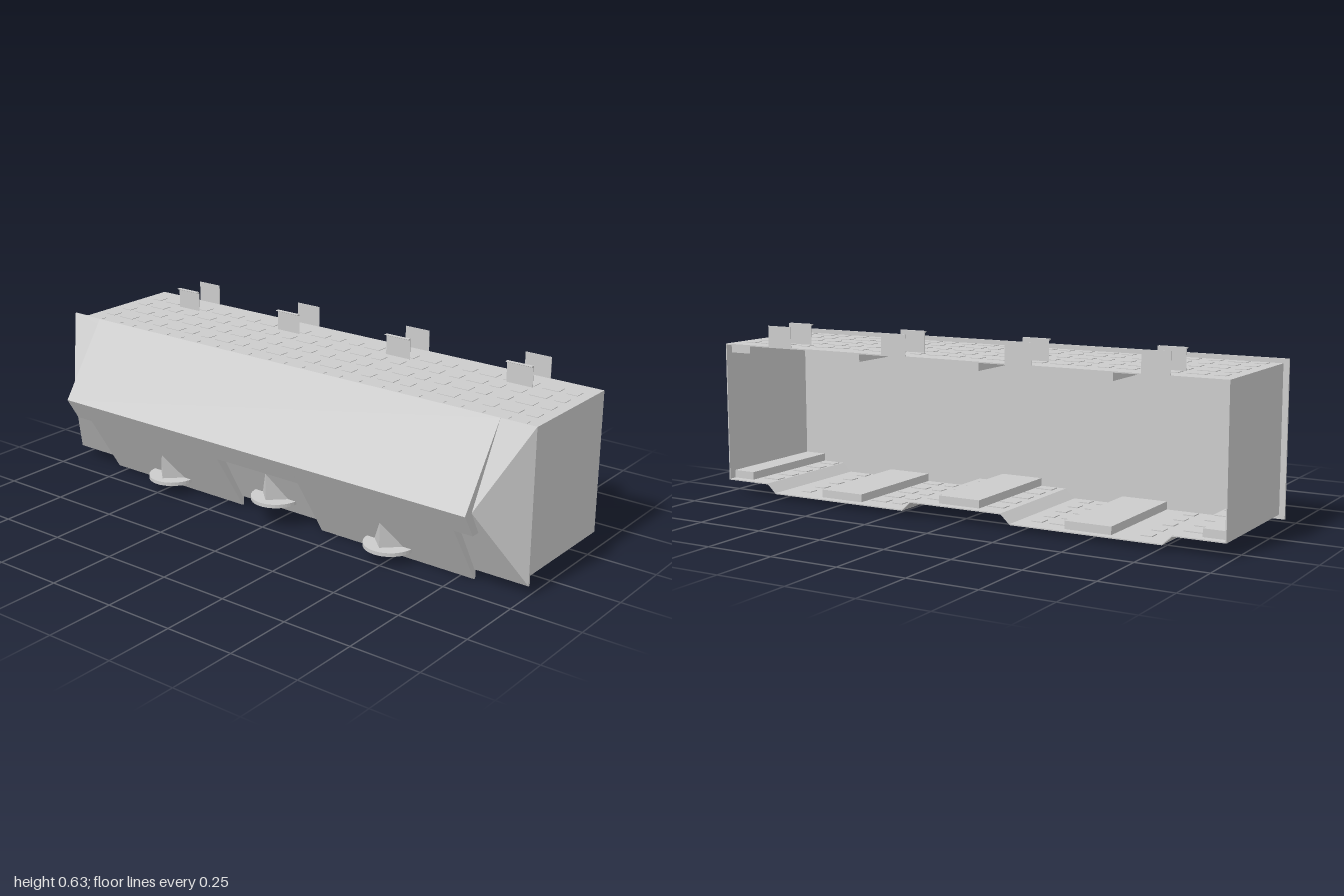
import * as THREE from 'three';
import { mergeGeometries } from 'three/addons/utils/BufferGeometryUtils.js';

const mat = new THREE.MeshStandardMaterial({ color: 0xcccccc, flatShading: true, side: THREE.DoubleSide });

// Box from its min and max on each axis
function box(x0, x1, y0, y1, z0, z1) {
  return new THREE.BoxGeometry(x1 - x0, y1 - y0, z1 - z0)
    .translate((x0 + x1) / 2, (y0 + y1) / 2, (z0 + z1) / 2);
}

// Profile of [z, y] points swept from x0 to x1
function sweepX(profile, x0, x1) {
  const shape = new THREE.Shape(profile.map(([z, y]) => new THREE.Vector2(z, y)));
  return new THREE.ExtrudeGeometry(shape, { depth: x1 - x0, bevelEnabled: false })
    .rotateY(-Math.PI / 2).translate(x1, 0, 0);
}

// Flat triangles from named corners
function facets(points, faces) {
  const g = new THREE.BufferGeometry();
  g.setAttribute('position', new THREE.Float32BufferAttribute(faces.flat().flatMap(i => points[i]), 3));
  g.computeVertexNormals();
  return g;
}

export function createModel() {
  const model = new THREE.Group();
  const add = (name, geo) => {
    const mesh = new THREE.Mesh(geo, mat);
    mesh.name = name;
    model.add(mesh);
    return mesh;
  };

  const W = 0.98, BACK = -0.328, FRONT = 0.136, ROOF = 0.556;
  const rows = [0.101, 0.016, -0.07, -0.156, -0.24];

  // Thin shell, open at the back
  add('roof', box(-W, W, ROOF - 0.004, ROOF, BACK, FRONT));
  for (const s of [-1, 1]) {
    add(s > 0 ? 'leftWall' : 'rightWall',
      box(s > 0 ? W - 0.004 : -W, s > 0 ? W : -W + 0.004, 0.05, ROOF, BACK, FRONT));
  }

  // Floor sheet that drops into two shallow troughs
  const bends = [[-W, 0.05], [-0.8, 0.05], [-0.765, 0.018], [-0.215, 0.018], [-0.18, 0.05],
    [0.18, 0.05], [0.215, 0.018], [0.765, 0.018], [0.8, 0.05], [W, 0.05]];
  const outline = [...bends, ...bends.slice().reverse().map(([x, y]) => [x, y + 0.004])];
  add('floor', new THREE.ExtrudeGeometry(
    new THREE.Shape(outline.map(([x, y]) => new THREE.Vector2(x, y))),
    { depth: FRONT - BACK, bevelEnabled: false }).translate(0, 0, BACK));

  // Broad ribs under the roof and across the floor
  const ribs = [[-0.976, -0.89], [-0.575, -0.405], [-0.08, 0.08], [0.405, 0.575], [0.89, 0.976]];
  const ribParts = ribs.flatMap(([a, b]) => {
    const y = Math.abs((a + b) / 2) > 0.3 && Math.abs(a + b) < 1.5 ? 0.02 : 0.052;
    return [box(a, b, ROOF - 0.035, ROOF - 0.003, -0.3, FRONT), box(a, b, y, y + 0.03, -0.3, FRONT)];
  });
  add('crossRibs', mergeGeometries(ribParts));

  // Shallow tread pads in rows on the roof and floor
  const pads = [];
  for (const z of rows) {
    for (let i = 0; i < 24; i++) {
      const x = -0.92 + i * 0.08, w = i % 3 === 1 ? 0.032 : 0.02, a = Math.abs(x);
      pads.push(box(x - w, x + w, ROOF, ROOF + 0.002, z - 0.02, z + 0.02));
      const onRib = ribs.some(([p, q]) => x + w > p && x - w < q);
      const onSlope = (a > 0.14 && a < 0.25) || (a > 0.73 && a < 0.84);
      if (onRib || onSlope) continue;
      const y = a > 0.2 && a < 0.78 ? 0.018 : 0.05;
      pads.push(box(x - w, x + w, y - 0.002, y + 0.007, z - 0.02, z + 0.02));
    }
  }
  add('treadPads', mergeGeometries(pads));

  // Front flange and faceted nose with tapered ends
  add('frontFlange', box(-1, 1, 0.035, 0.572, FRONT, 0.143));
  add('noseCore', facets([
    [-1, 0.572, 0.143], [1, 0.572, 0.143], [-0.87, 0.302, 0.29], [0.87, 0.302, 0.29],
    [-1, 0.035, 0.143], [1, 0.035, 0.143]],
  [[0, 2, 3], [0, 3, 1], [2, 4, 5], [2, 5, 3], [0, 4, 2], [1, 3, 5]]));

  // Outer nose plates, the lower one notched at the middle and corners
  add('upperNosePlate', sweepX([[0.328, 0.302], [0.143, 0.572], [0.136, 0.572], [0.29, 0.302]], -0.87, 0.87));
  const shortPlate = [[0.328, 0.302], [0.278, 0.22], [0.245, 0.22], [0.29, 0.302]];
  const longPlate = [[0.328, 0.302], [0.143, 0], [0.136, 0], [0.136, 0.035], [0.143, 0.035], [0.29, 0.302]];
  add('lowerNosePlate', mergeGeometries([
    sweepX(shortPlate, -0.87, -0.8), sweepX(longPlate, -0.8, -0.18), sweepX(shortPlate, -0.18, 0.18),
    sweepX(longPlate, 0.18, 0.8), sweepX(shortPlate, 0.8, 0.87)]));

  // Half-round steps, each with a pointed bracket on top
  for (const [x, y, top] of [[-0.49, 0.04, 0.145], [0, 0.083, 0.195], [0.485, 0.04, 0.145]]) {
    const step = new THREE.CylinderGeometry(0.09, 0.09, 0.013, 20, 1, false, -Math.PI / 2, Math.PI);
    add('frontStep', step.translate(x, y + 0.0065, 0.171));
    const b = y + 0.013;
    add('stepBracket', facets(
      [[x, top, 0.231], [x, b, 0.231], [x - 0.062, b, 0.172], [x + 0.062, b, 0.172]],
      [[0, 2, 1], [0, 1, 3], [0, 3, 2], [1, 2, 3]]));
  }

  // Paired upright tabs on the roof; the inner ones have a small lip
  for (const x of [-0.735, -0.245, 0.243, 0.731]) {
    add('innerTab', sweepX([[-0.209, ROOF], [-0.207, ROOF], [-0.207, 0.624], [-0.195, 0.629],
      [-0.195, 0.631], [-0.209, 0.631]], x - 0.05, x + 0.05));
    add('rearTab', box(x - 0.05, x + 0.05, ROOF - 0.004, 0.631, BACK, BACK + 0.002));
  }
  return model;
}
